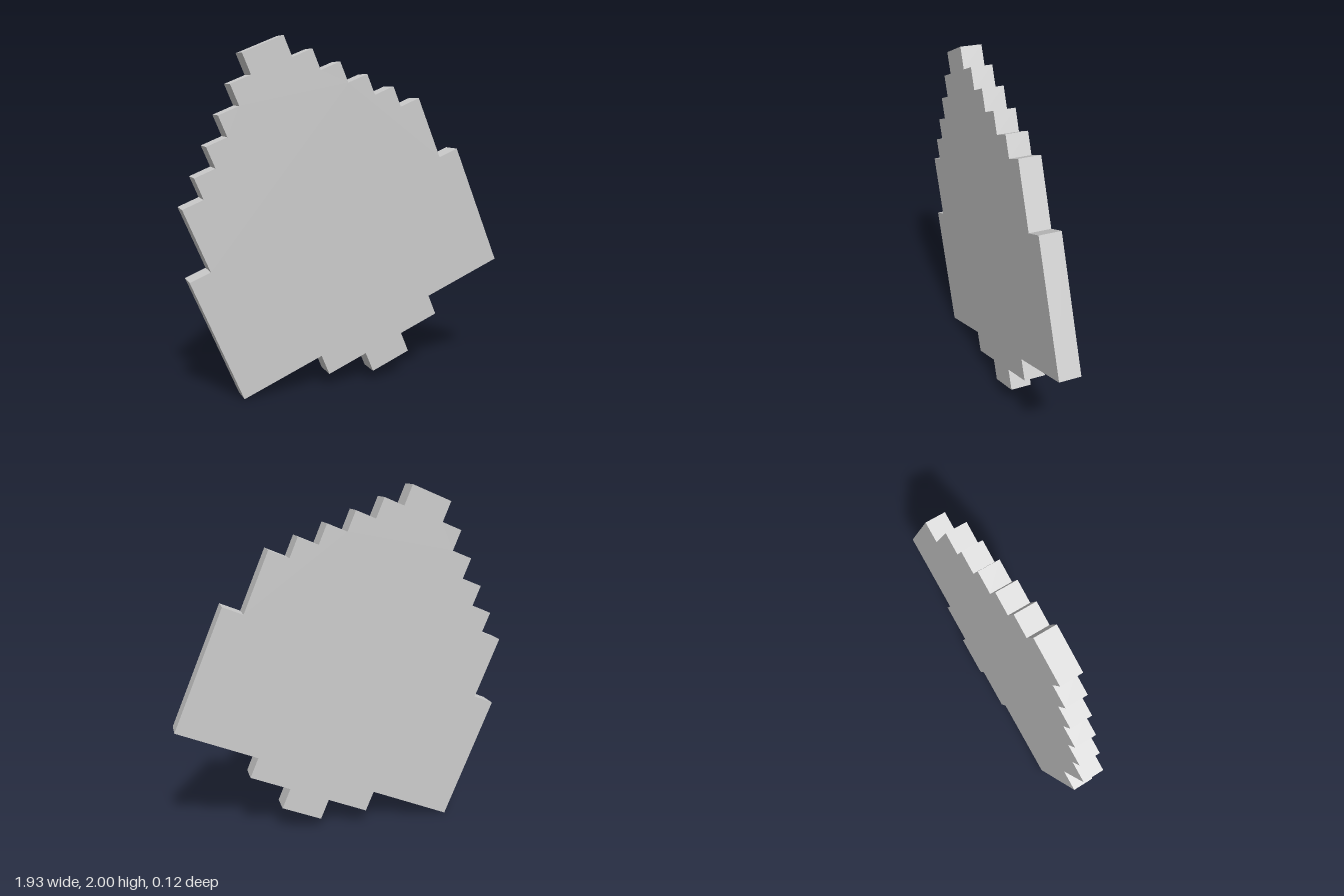
import * as THREE from 'three';

const UNIT = 0.125;          // size of one block step, and the thickness of the slab
const TILT = Math.PI / 8;    // lean of the whole shape

export function createModel() {
  const model = new THREE.Group();
  model.name = 'steppedSlab';

  // Right half of the stepped outline, bottom to top, in steps from its axis
  const half = [
    [1, -2], [1, -1], [3, -1], [3, 0], [7, 0], [7, 6], [6, 6],
    [6, 9], [5, 9], [5, 10], [4, 10], [4, 11], [3, 11], [3, 12],
    [2, 12], [2, 13], [1, 13], [1, 14],
  ];
  const mirrored = half.map(([x, y]) => [-x, y]).reverse();
  const outline = [...half, ...mirrored].map(([x, y]) => new THREE.Vector2(x * UNIT, y * UNIT));

  // Extruded slab, centred on its thickness
  const geometry = new THREE.ExtrudeGeometry(new THREE.Shape(outline), {
    depth: UNIT, bevelEnabled: false,
  });
  geometry.translate(0, 0, -UNIT / 2);

  // Lean it over, then stand it on the ground and centre it
  geometry.rotateZ(TILT);
  geometry.computeBoundingBox();
  const { min, max } = geometry.boundingBox;
  geometry.translate(-(min.x + max.x) / 2, -min.y, 0);

  const slab = new THREE.Mesh(
    geometry,
    new THREE.MeshStandardMaterial({ color: 0xcccccc, flatShading: true }),
  );
  slab.name = 'slab';
  model.add(slab);
  return model;
}
